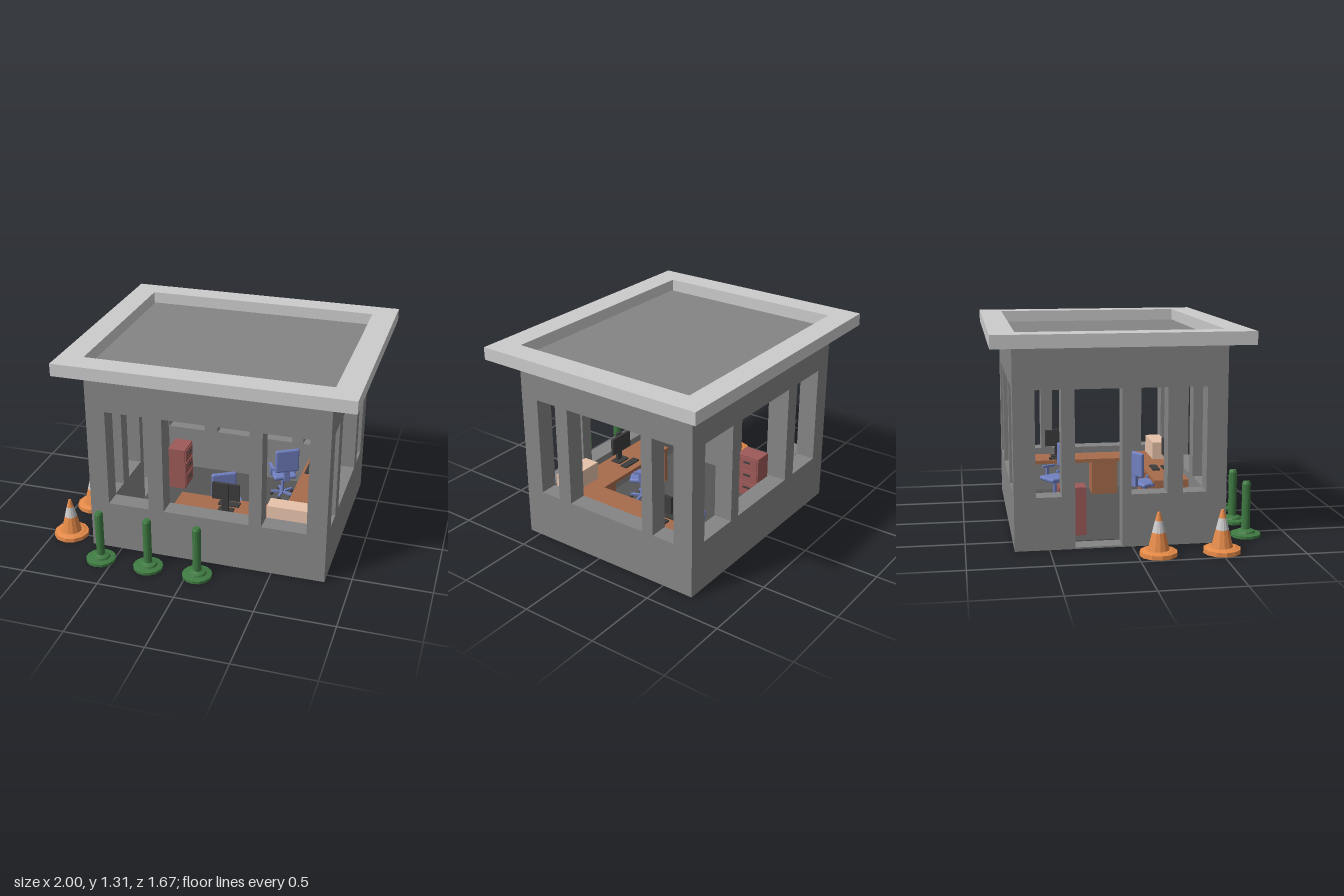
import * as THREE from 'three';
import { RoundedBoxGeometry } from 'three/addons/geometries/RoundedBoxGeometry.js';

const mat = (color) => new THREE.MeshStandardMaterial({ color, flatShading: true });
const wallMat = mat(0x858585), roofMat = mat(0xcccccc), floorMat = mat(0x555555);
const green = mat(0x3f7a42), orange = mat(0xe58a48), blue = mat(0x7080c0);
const beige = mat(0xe8c2aa), brown = mat(0xa86c4c), red = mat(0x9c5a58), black = mat(0x3c3c3c);

function add(parent, name, geometry, material, x = 0, y = 0, z = 0) {
  const mesh = new THREE.Mesh(geometry, material);
  mesh.name = name;
  mesh.position.set(x, y, z);
  parent.add(mesh);
  return mesh;
}

// Box given by its ranges on each axis
function block(parent, name, material, [x0, x1], [y0, y1], [z0, z1]) {
  return add(parent, name, new THREE.BoxGeometry(x1 - x0, y1 - y0, z1 - z0), material,
    (x0 + x1) / 2, (y0 + y1) / 2, (z0 + z1) / 2);
}

function group(parent, name, x = 0, y = 0, z = 0, turn = 0) {
  const g = new THREE.Group();
  g.name = name;
  g.position.set(x, y, z);
  g.rotation.y = turn;
  parent.add(g);
  return g;
}

function rectPath(path, x0, x1, y0, y1) {
  path.moveTo(x0, y0);
  path.lineTo(x1, y0);
  path.lineTo(x1, y1);
  path.lineTo(x0, y1);
  path.closePath();
  return path;
}

// Flat panel with rectangular openings, each [x0, x1, y0, y1]
function panel([x0, x1, y0, y1], holes, depth) {
  const shape = rectPath(new THREE.Shape(), x0, x1, y0, y1);
  for (const h of holes) shape.holes.push(rectPath(new THREE.Path(), ...h));
  return new THREE.ExtrudeGeometry(shape, { depth, bevelEnabled: false });
}

const X0 = -0.7, X1 = 0.84, Z0 = -0.71, Z1 = 0.58, TOP = 1.23, T = 0.12;
const SILL = 0.325, HEAD = 0.97, DESK = 0.28;

function buildBooth(root) {
  const booth = group(root, 'booth');
  const win = (a, b) => [a, b, SILL, HEAD];

  // Front and back walls share the same three windows
  const wide = panel([X0, X1, 0, TOP], [win(-0.575, -0.305), win(-0.205, 0.35), win(0.43, 0.715)], T);
  add(booth, 'frontWall', wide, wallMat, 0, 0, Z1 - T);
  add(booth, 'backWall', wide, wallMat, 0, 0, Z0);

  // Side walls run along z; panel x equals -z after the turn
  const ends = [win(-0.455, -0.31), win(0.425, 0.58)];
  const span = [-(Z1 - T), -(Z0 + T), 0, TOP];
  const left = add(booth, 'leftWall', panel(span, [...ends, win(-0.215, 0.345)], T), wallMat, X1 - T);
  const right = add(booth, 'rightWall',
    panel(span, [...ends, win(-0.215, 0.005), [0.06, 0.345, 0.01, HEAD]], T), wallMat, X0);
  left.rotation.y = right.rotation.y = Math.PI / 2;

  block(booth, 'floor', floorMat, [X0 + T, X1 - T], [0, 0.015], [Z0 + T, Z1 - T]);
  block(booth, 'ceiling', wallMat, [X0 + 0.01, X1 - 0.01], [1.2, 1.235], [Z0 + 0.01, Z1 - 0.01]);

  // Raised roof rim around a sunken deck
  const rim = add(booth, 'roofRim',
    panel([-0.855, 1, -0.71, 0.84], [[-0.7, 0.845, -0.555, 0.69]], 0.08), roofMat, 0, TOP, 0);
  rim.rotation.x = -Math.PI / 2;
}

function buildBollard(root, x) {
  const profile = [[0, 0], [0.095, 0], [0.095, 0.018], [0.06, 0.024], [0.055, 0.036], [0.035, 0.042],
    [0.027, 0.046], [0.027, 0.335], [0.02, 0.35], [0, 0.35]];
  add(root, 'bollard', new THREE.LatheGeometry(profile.map((p) => new THREE.Vector2(...p)), 14),
    green, x, 0, 0.74);
}

function buildCone(root, z) {
  const cone = group(root, 'trafficCone', -0.885, 0, z);
  const section = (name, r0, r1, y0, y1, m) =>
    add(cone, name, new THREE.CylinderGeometry(r1, r0, y1 - y0, 12), m, 0, (y0 + y1) / 2, 0);
  section('coneFoot', 0.115, 0.113, 0, 0.025, orange);
  section('coneSkirt', 0.105, 0.08, 0.025, 0.034, orange);
  section('coneBody', 0.066, 0.04, 0.034, 0.14, orange);
  section('coneBand', 0.04, 0.023, 0.14, 0.21, roofMat);
  section('coneTip', 0.023, 0.009, 0.21, 0.26, orange);
}

// Swivel chair facing +z, with its backrest at the origin
function buildChair(root, x, z, turn) {
  const chair = group(root, 'chair', x, 0, z, turn);
  add(chair, 'chairBack', new RoundedBoxGeometry(0.17, 0.17, 0.028, 2, 0.013), blue, 0, 0.335, 0);
  add(chair, 'chairSeat', new RoundedBoxGeometry(0.16, 0.03, 0.15, 2, 0.013), blue, 0, 0.19, 0.09);
  block(chair, 'backSupport', blue, [-0.02, 0.02], [0.18, 0.27], [-0.012, 0.012]);
  for (const s of [-1, 1]) {
    add(chair, 'armrest', new THREE.BoxGeometry(0.02, 0.014, 0.1), blue, s * 0.085, 0.26, 0.08);
    add(chair, 'armPost', new THREE.BoxGeometry(0.014, 0.07, 0.02), blue, s * 0.085, 0.222, 0.09);
  }
  add(chair, 'chairColumn', new THREE.CylinderGeometry(0.012, 0.012, 0.14, 8), blue, 0, 0.11, 0.09);
  for (let i = 0; i < 5; i++) {
    const leg = group(chair, 'chairFoot', 0, 0, 0.09, (i / 5) * Math.PI * 2);
    add(leg, 'spoke', new THREE.BoxGeometry(0.016, 0.014, 0.08), blue, 0, 0.045, 0.04);
    add(leg, 'castor', new THREE.SphereGeometry(0.014, 8, 6), black, 0, 0.03, 0.076);
  }
}

// Monitor facing -z
function buildMonitor(root, x, z, turn) {
  const m = group(root, 'monitor', x, DESK, z, turn);
  block(m, 'screen', black, [-0.09, 0.09], [0.08, 0.195], [-0.02, 0]);
  block(m, 'monitorStand', black, [-0.022, 0.022], [0, 0.205], [0, 0.018]);
  block(m, 'monitorFoot', black, [-0.05, 0.05], [0, 0.01], [-0.035, 0.035]);
  block(m, 'keyboard', black, [-0.07, 0.07], [0, 0.01], [-0.11, -0.06]);
}

function buildFurniture(root) {
  const room = group(root, 'furniture');

  // L-shaped desk along the front and left walls
  block(room, 'frontDeskTop', brown, [-0.2, 0.72], [DESK - 0.025, DESK], [0.23, 0.46]);
  block(room, 'sideDeskTop', brown, [0.5, 0.72], [DESK - 0.025, DESK], [-0.56, 0.23]);
  block(room, 'deskEndPanel', brown, [-0.2, -0.175], [0.015, DESK - 0.025], [0.24, 0.46]);
  block(room, 'deskEndPanel', brown, [0.51, 0.72], [0.015, DESK - 0.025], [-0.56, -0.535]);
  block(room, 'deskDrawers', brown, [0.36, 0.52], [0.015, DESK - 0.025], [0.25, 0.45]);
  block(room, 'deskDrawers', brown, [0.53, 0.71], [0.015, DESK - 0.025], [-0.08, 0.1]);

  block(room, 'counterBox', beige, [0.43, 0.715], [DESK, 0.4], [0.34, 0.445]);
  buildMonitor(room, 0.145, 0.385, 0);
  buildMonitor(room, 0.63, -0.315, Math.PI / 2);
  buildChair(room, 0.063, 0.148, Math.PI / 6);
  buildChair(room, 0.385, -0.29, Math.PI * 7 / 6);

  // Filing cabinet with three drawers
  block(room, 'cabinet', red, [-0.47, -0.345], [0.015, 0.32], [-0.42, -0.25]);
  for (let i = 0; i < 3; i++) {
    const y = 0.03 + i * 0.096;
    block(room, 'cabinetDrawer', red, [-0.345, -0.339], [y, y + 0.085], [-0.41, -0.26]);
    block(room, 'drawerHandle', black, [-0.339, -0.331], [y + 0.05, y + 0.06], [-0.36, -0.31]);
  }
}

export function createModel() {
  const root = new THREE.Group();
  root.name = 'guardBooth';
  buildBooth(root);
  buildFurniture(root);
  for (const x of [-0.58, -0.26, 0.065]) buildBollard(root, x);
  for (const z of [0.125, 0.51]) buildCone(root, z);
  return root;
}
